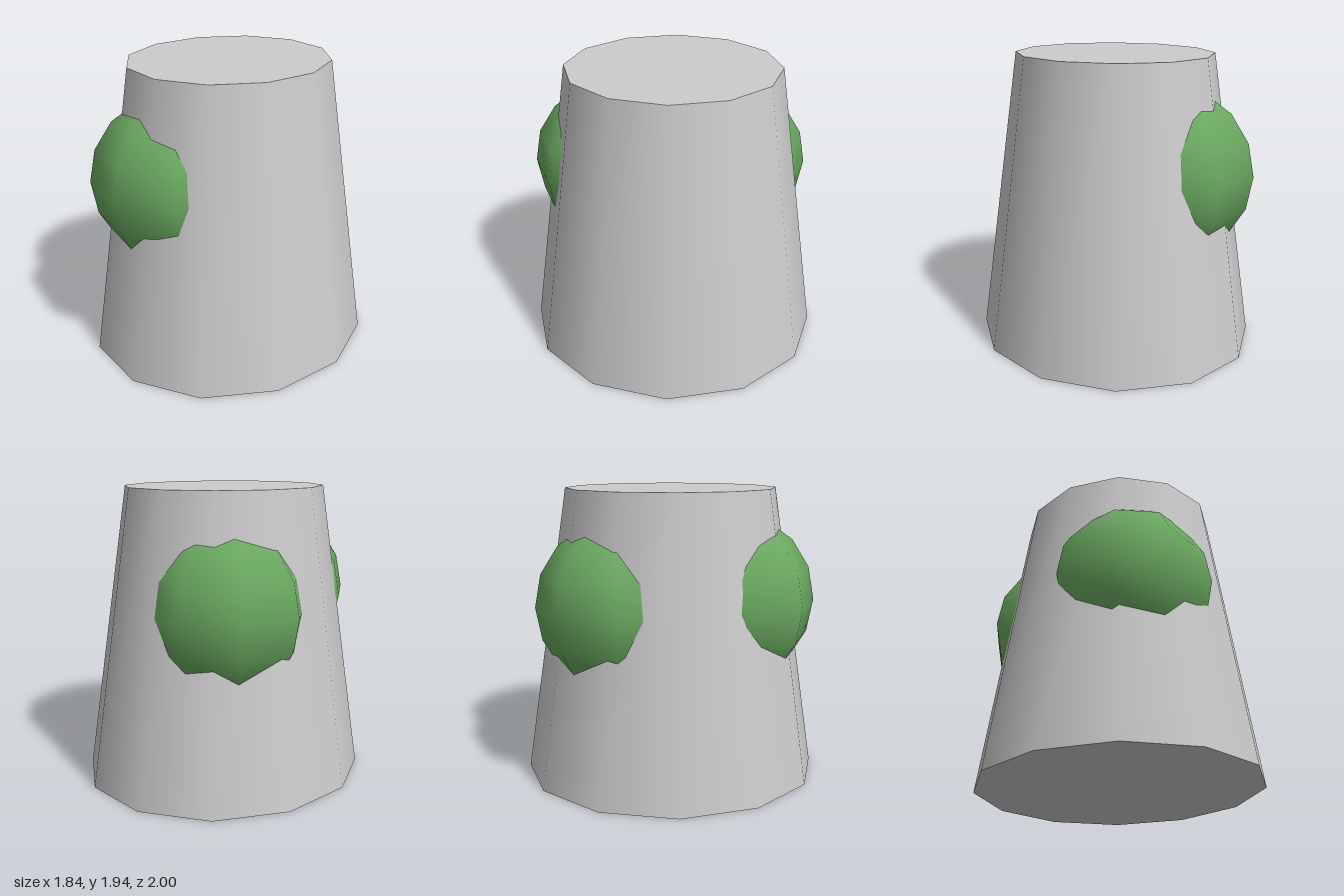
import * as THREE from 'three';

const HEIGHT = 1.94;

export function createModel() {
  const group = new THREE.Group();
  const bark = new THREE.MeshStandardMaterial({ color: 0xcccccc });
  const green = new THREE.MeshStandardMaterial({ color: 0x6aa860 });

  // Tapered twelve-sided stump, slightly narrower across x
  const stumpGeometry = new THREE.CylinderGeometry(0.7, 1, HEIGHT, 12);
  stumpGeometry.scale(0.92, 1, 1);
  stumpGeometry.translate(0, HEIGHT / 2, 0);
  const stump = new THREE.Mesh(stumpGeometry, bark);
  stump.name = 'stump';
  group.add(stump);

  // Moss clumps: low-poly balls sunk into the stump
  const mossGeometry = new THREE.SphereGeometry(0.535, 8, 8);
  mossGeometry.scale(1, 1.065, 1);
  const addMoss = (name, x, y, z) => {
    const moss = new THREE.Mesh(mossGeometry, green);
    moss.name = name;
    moss.position.set(x, y, z);
    group.add(moss);
  };
  addMoss('frontMoss', -0.13, 1.2, 0.42);
  addMoss('backMoss', -0.23, 1.18, -0.365);

  return group;
}
